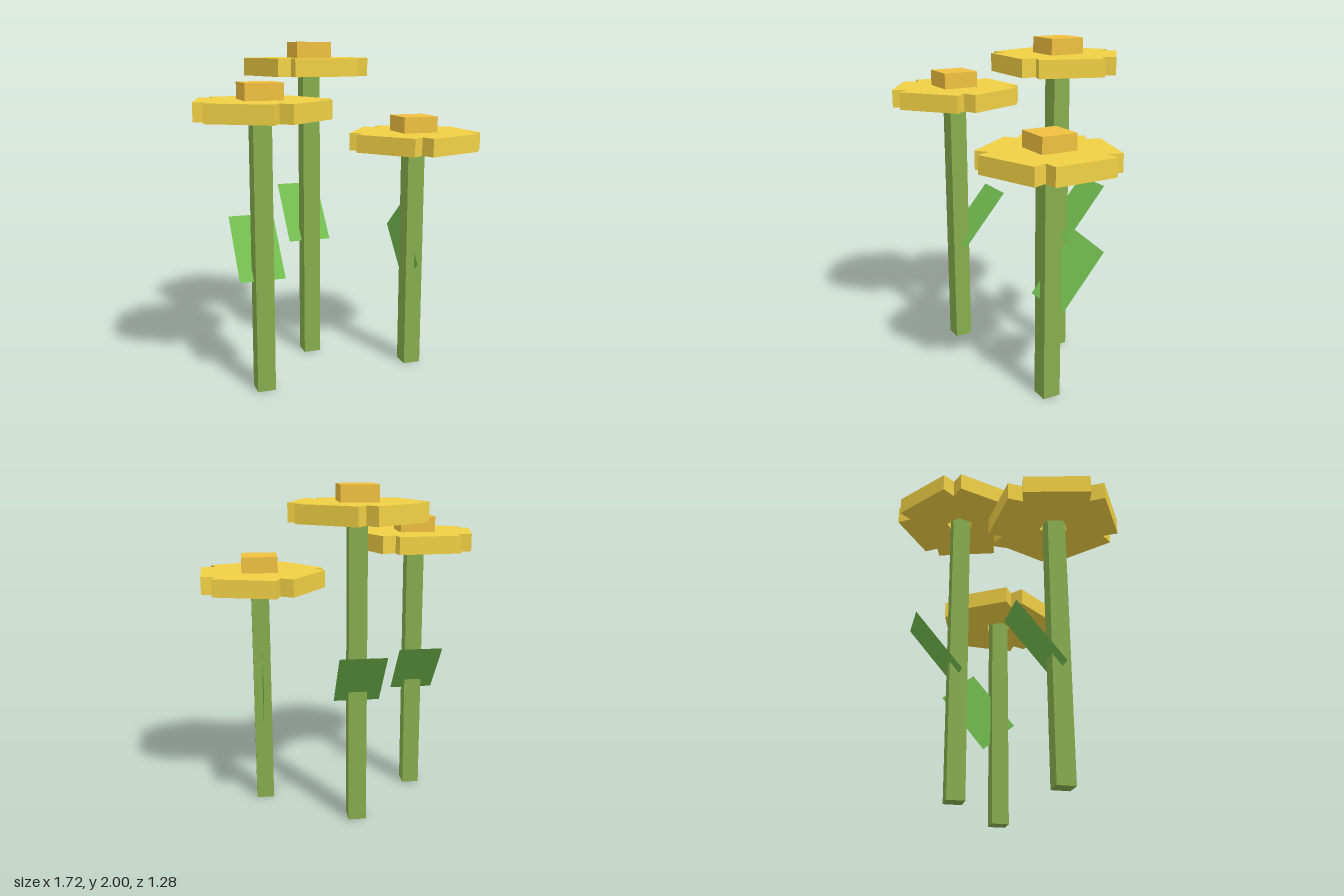
import * as THREE from 'three';

const material = (color, side = THREE.FrontSide) =>
  new THREE.MeshStandardMaterial({ color, side, flatShading: true });

const stemMat = material(0x86ad4e);
const petalMat = material(0xf0d045);
const centreMat = material(0xf0c040);
const leafMat = material(0x72bc4f, THREE.DoubleSide);

const HEAD = 0.105; // thickness of the petal ring

function mesh(name, geometry, mat, x, y, z) {
  const m = new THREE.Mesh(geometry, mat);
  m.name = name;
  m.position.set(x, y, z);
  return m;
}

// Five overlapping rectangular petals as one outline, with a small five-sided hole
function petalGeometry() {
  const half = 0.19, reach = 0.35, inner = 0.07, step = Math.PI * 2 / 5;
  const notch = half / Math.sin(step / 2);
  const corner = inner / Math.cos(step / 2);
  const outline = [], hole = [];
  for (let i = 0; i < 5; i++) {
    const a = i * step, b = a + step / 2;
    const s = Math.sin(a), c = -Math.cos(a);
    outline.push(
      new THREE.Vector2(s * reach + c * half, c * reach - s * half),
      new THREE.Vector2(s * reach - c * half, c * reach + s * half),
      new THREE.Vector2(Math.sin(b) * notch, -Math.cos(b) * notch));
    hole.push(new THREE.Vector2(Math.sin(b) * corner, -Math.cos(b) * corner));
  }
  const shape = new THREE.Shape(outline);
  shape.holes.push(new THREE.Path(hole));
  return new THREE.ExtrudeGeometry(shape, { depth: HEAD, bevelEnabled: false })
    .rotateX(-Math.PI / 2);
}

function createFlower({ name, x, z, height, turn, leafY, leafTurn }, petals) {
  const flower = new THREE.Group();
  flower.name = name;
  flower.position.set(x, 0, z);

  // Square stem reaching up to the flower centre
  const top = height + HEAD;
  flower.add(mesh('stem', new THREE.BoxGeometry(0.107, top, 0.107), stemMat, 0, top / 2, 0));

  // Flower head
  const ring = mesh('petals', petals, petalMat, 0, height, 0);
  ring.rotation.y = turn;
  flower.add(ring);
  flower.add(mesh('flowerCentre', new THREE.BoxGeometry(0.215, 0.095, 0.215), centreMat,
    0, top + 0.0475, 0));

  // Thin leaf leaning backwards
  const leaf = mesh('leaf', new THREE.PlaneGeometry(0.27, 0.43), leafMat, 0, leafY, -0.135);
  leaf.rotation.set(-0.7, leafTurn, 0);
  flower.add(leaf);
  return flower;
}

export function createModel() {
  const model = new THREE.Group();
  model.name = 'flowers';
  const petals = petalGeometry();
  const flowers = [
    { name: 'tallFlower', x: -0.042, z: -0.246, height: 1.8, turn: 0, leafY: 0.91, leafTurn: 0 },
    { name: 'middleFlower', x: -0.477, z: 0.242, height: 1.583, turn: 0.7, leafY: 0.822, leafTurn: 0 },
    { name: 'shortFlower', x: 0.5, z: 0.134, height: 1.365, turn: 0.35, leafY: 0.736, leafTurn: Math.PI / 2 },
  ];
  for (const f of flowers) model.add(createFlower(f, petals));
  return model;
}
